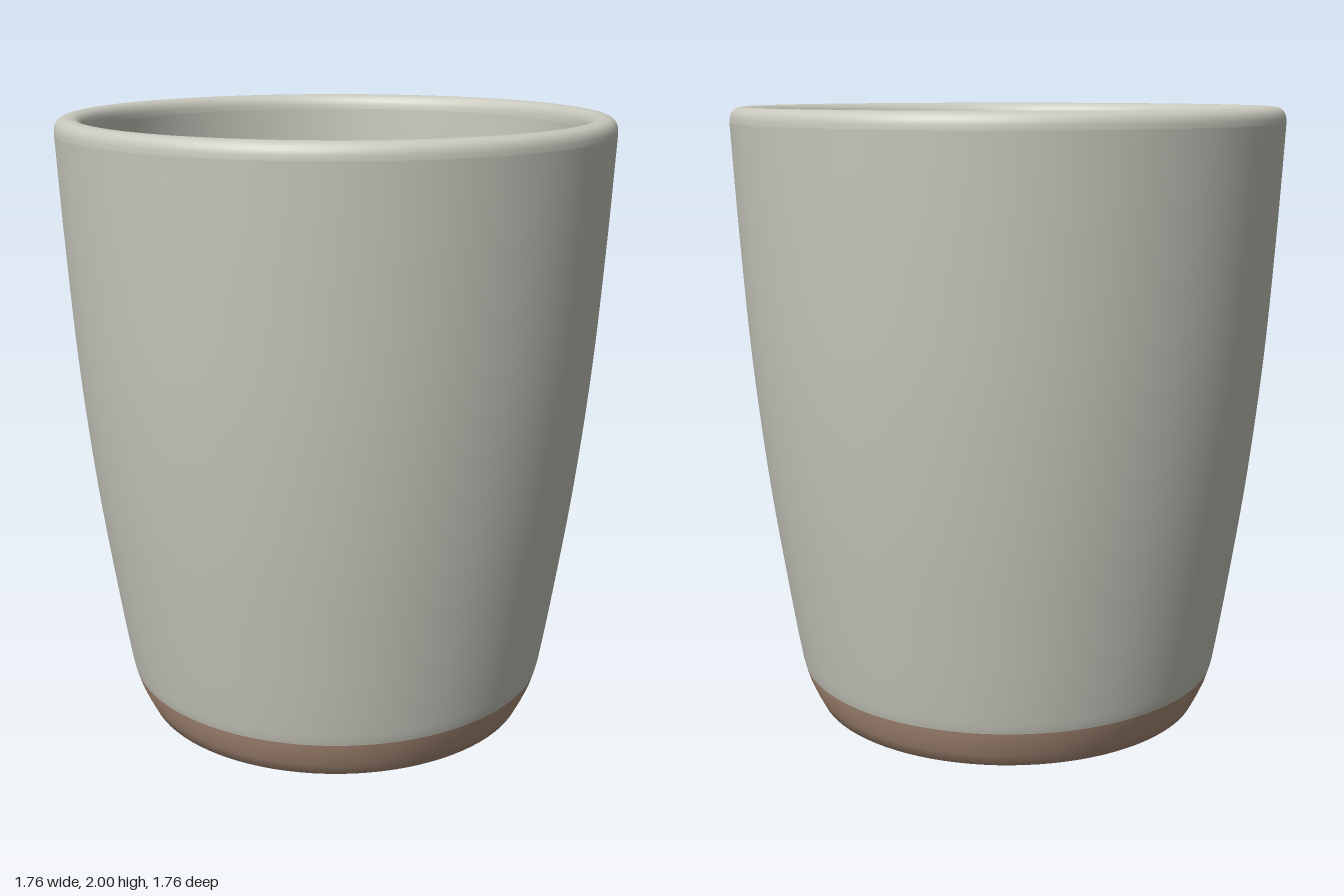
import * as THREE from 'three';

const SEGMENTS = 96;
const v = ([x, y]) => new THREE.Vector2(x, y);

// Smooth surface of revolution from a profile of [radius, height] points
function turned(name, points, material) {
  const mesh = new THREE.Mesh(new THREE.LatheGeometry(points, SEGMENTS), material);
  mesh.name = name;
  return mesh;
}

// Quarter-round fillet between two profile points
function fillet(from, corner, to, steps = 6) {
  return new THREE.QuadraticBezierCurve(v(from), v(corner), v(to)).getPoints(steps);
}

export function createModel() {
  const glaze = new THREE.MeshStandardMaterial({ color: 0xc8c8be });
  glaze.name = 'pale grey glaze';
  const clay = new THREE.MeshStandardMaterial({ color: 0xb1927d });
  clay.name = 'bare clay';

  const cup = new THREE.Group();
  cup.name = 'cup';

  // Unglazed foot: flat underside, chamfer and short flare
  const foot = [[0, 0], [0.5, 0], [0.575, 0.003], [0.645, 0.03], [0.665, 0.07], [0.685, 0.115], [0.698, 0.157]];
  cup.add(turned('clayFoot', foot.map(v), clay));

  // Gently bowed outer wall, ending under the rim
  const wall = new THREE.SplineCurve(
    [[0.698, 0.157], [0.709, 0.21], [0.742, 0.42], [0.795, 0.8], [0.836, 1.2], [0.862, 1.6], [0.879, 1.95]].map(v)
  ).getPoints(36);
  cup.add(turned('outerWall', wall, glaze));

  // Rounded lip
  const lip = [
    ...fillet([0.879, 1.95], [0.881, 2], [0.835, 2]),
    ...fillet([0.835, 2], [0.792, 2], [0.79, 1.95]).slice(1),
  ];
  cup.add(turned('rim', lip, glaze));

  // Inner wall running down to a filleted floor
  const inside = [
    ...new THREE.SplineCurve(
      [[0.79, 1.95], [0.773, 1.6], [0.747, 1.2], [0.706, 0.8], [0.653, 0.42], [0.617, 0.21]].map(v)
    ).getPoints(30),
    ...fillet([0.612, 0.185], [0.605, 0.15], [0.57, 0.15]),
    ...[[0.54, 0.15], [0, 0.15]].map(v),
  ];
  cup.add(turned('innerWallAndFloor', inside, glaze));

  return cup;
}
